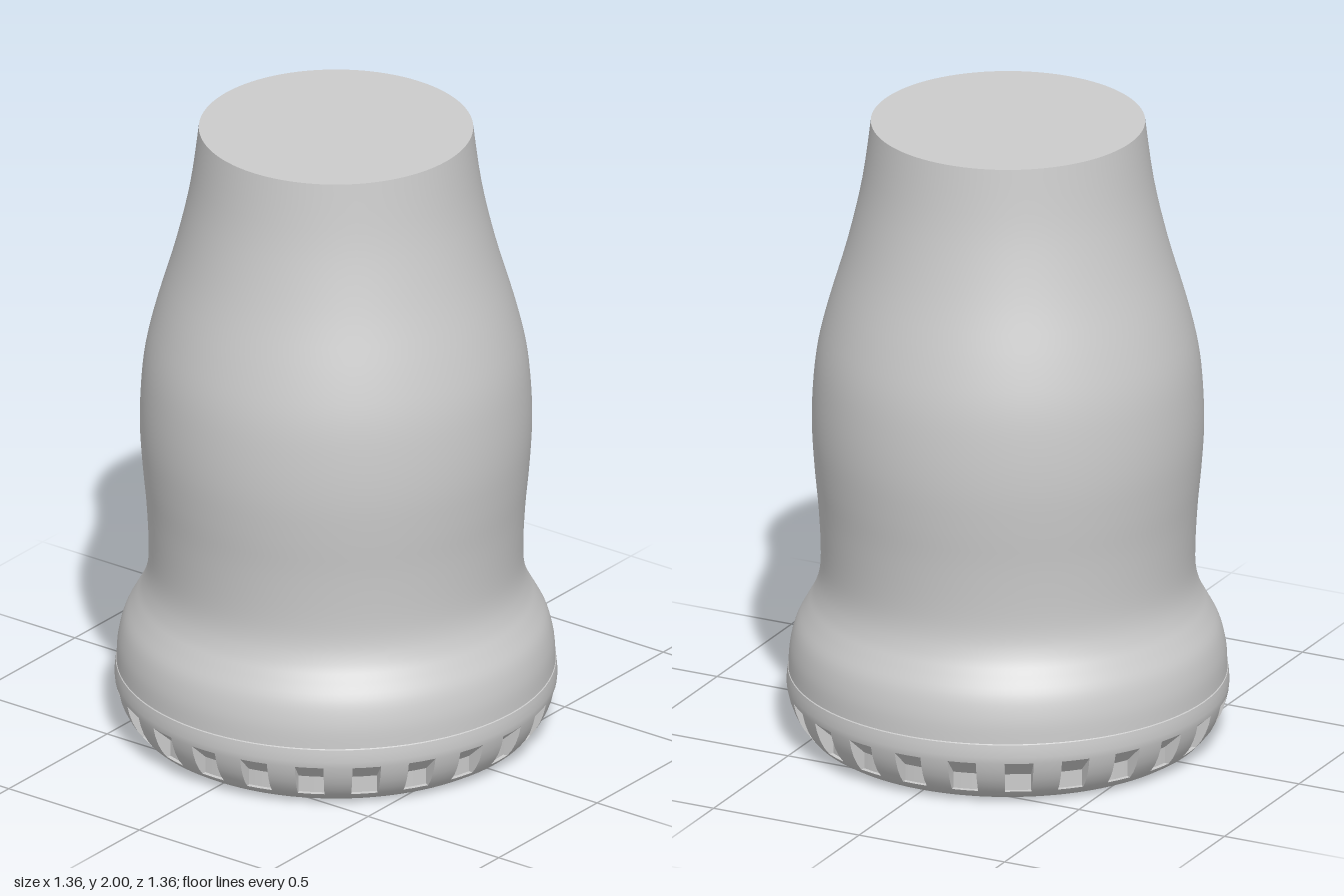
import * as THREE from 'three';

const SLOTS = 24, PER_SLOT = 4, SEGMENTS = SLOTS * PER_SLOT;
const v = ([r, y]) => new THREE.Vector2(r, y);
const smooth = (pts, n) => new THREE.SplineCurve(pts.map(v)).getPoints(n);

export function createModel() {
  const group = new THREE.Group();
  const material = new THREE.MeshStandardMaterial({ color: 0xcccccc });
  const thin = new THREE.MeshStandardMaterial({ color: 0xcccccc, side: THREE.DoubleSide });
  const add = (name, geometry, mat = material) => {
    const mesh = new THREE.Mesh(geometry, mat);
    mesh.name = name;
    group.add(mesh);
    return mesh;
  };
  const lathe = (name, pts, mat) => add(name, new THREE.LatheGeometry(pts, SEGMENTS), mat);

  // Waisted body with a flared skirt
  lathe('body', smooth([
    [0.672, 0.213], [0.668, 0.28], [0.651, 0.35], [0.62, 0.41], [0.594, 0.46], [0.577, 0.52],
    [0.573, 0.6], [0.58, 0.74], [0.592, 0.87], [0.6, 1.0], [0.597, 1.13], [0.583, 1.26],
    [0.55, 1.4], [0.492, 1.6], [0.447, 1.8], [0.42, 2.0],
  ], 60));

  const topCap = add('topFace', new THREE.CircleGeometry(0.42, SEGMENTS));
  topCap.rotation.x = -Math.PI / 2;
  topCap.position.y = 2;

  // Rounded base ring: one lathe with the slot openings left out
  const low = [[0.55, 0], [0.585, 0.007], [0.61, 0.022], [0.626, 0.04]];
  const slotEdge = [[0.626, 0.04], [0.643, 0.062], [0.658, 0.09], [0.669, 0.12], [0.676, 0.15]];
  const high = [[0.678, 0.17], [0.676, 0.195], [0.674, 0.21]];
  const profile = [...low, ...slotEdge.slice(1), ...high].map(v);
  const ring = new THREE.LatheGeometry(profile, SEGMENTS);
  const rows = profile.length - 1;
  const firstRow = low.length - 1, lastRow = firstRow + slotEdge.length - 1;
  ring.setIndex(Array.from(ring.index.array).filter((_, k) => {
    const quad = Math.floor(k / 6);
    const column = Math.floor(quad / rows) % PER_SLOT, row = quad % rows;
    const inSlot = column === 0 || column === PER_SLOT - 1;
    return !(inSlot && row >= firstRow && row < lastRow);
  }));
  add('baseRing', ring);

  // Narrow step between base ring and body
  lathe('seam', [[0.674, 0.21], [0.668, 0.213], [0.672, 0.213]].map(v), thin);

  const bottom = add('bottomFace', new THREE.CircleGeometry(0.55, SEGMENTS));
  bottom.rotation.x = Math.PI / 2;

  // Recess behind the slots: sill, upright wall and sloping ceiling
  const recess = [[0.626, 0.04], [0.612, 0.04], [0.612, 0.092], [0.676, 0.15]];
  ['slotSill', 'slotBackWall', 'slotCeiling'].forEach((name, i) =>
    lathe(name, [v(recess[i]), v(recess[i + 1])], thin));

  // Side walls of every slot
  const outline = [...slotEdge, recess[2], recess[1]].map(v);
  const wall = new THREE.ShapeGeometry(new THREE.Shape(outline));
  const half = (2 * Math.PI) / SEGMENTS;
  for (let i = 0; i < SLOTS; i++) {
    for (const side of [-1, 1]) {
      add('slotSideWall', wall, thin).rotation.y = (i * 2 * Math.PI) / SLOTS + side * half;
    }
  }
  return group;
}
